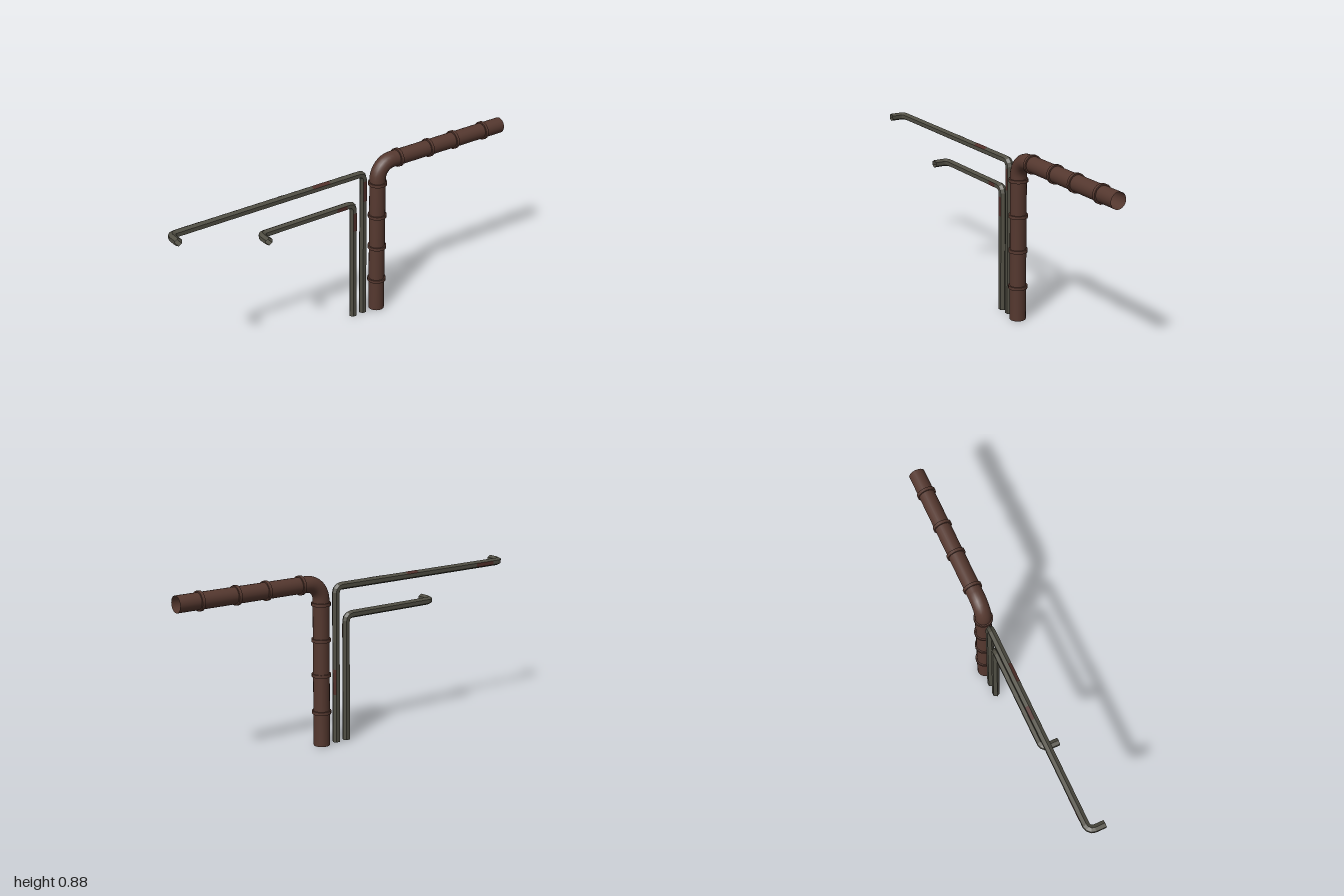
import * as THREE from 'three';

const V = (x, y, z) => new THREE.Vector3(x, y, z);

// Replaces each inner corner of a polyline with a small arc
function roundPath(corners, radius, steps) {
  const out = [corners[0]];
  for (let i = 1; i < corners.length - 1; i++) {
    const c = corners[i];
    const u = corners[i - 1].clone().sub(c).normalize();
    const w = corners[i + 1].clone().sub(c).normalize();
    const centre = c.clone().addScaledVector(u, radius).addScaledVector(w, radius);
    for (let s = 0; s <= steps; s++) {
      const a = (s / steps) * Math.PI / 2;
      out.push(centre.clone()
        .addScaledVector(w, -radius * Math.cos(a))
        .addScaledVector(u, -radius * Math.sin(a)));
    }
  }
  out.push(corners[corners.length - 1]);
  return out;
}

// Sweeps a regular polygon (or a run of its sides) along a path
function sweep(path, radius, sides, flat, first = 0, count = sides) {
  const pos = [], nor = [], idx = [];
  const dirs = path.slice(1).map((p, i) => p.clone().sub(path[i]).normalize());
  let t = dirs[0].clone();
  const n = Math.abs(t.y) > 0.9 ? V(1, 0, 0) : V(0, 1, 0);
  path.forEach((p, i) => {
    const a = dirs[Math.max(i - 1, 0)], b = dirs[Math.min(i, dirs.length - 1)];
    const next = a.clone().add(b).normalize();
    n.applyQuaternion(new THREE.Quaternion().setFromUnitVectors(t, next));
    t = next;
    const bin = t.clone().cross(n);
    for (let j = 0; j <= count; j++) {
      const ang = ((first + j) / sides) * Math.PI * 2;
      const d = n.clone().multiplyScalar(Math.cos(ang)).addScaledVector(bin, Math.sin(ang));
      pos.push(...p.clone().addScaledVector(d, radius).toArray());
      nor.push(...d.toArray());
    }
    if (i === 0) return;
    for (let j = 0; j < count; j++) {
      const q = (i - 1) * (count + 1) + j, r = q + count + 1;
      idx.push(q, q + 1, r + 1, q, r + 1, r);
    }
  });
  let g = new THREE.BufferGeometry();
  g.setAttribute('position', new THREE.Float32BufferAttribute(pos, 3));
  g.setAttribute('normal', new THREE.Float32BufferAttribute(nor, 3));
  g.setIndex(idx);
  if (flat) {
    g = g.toNonIndexed();
    g.computeVertexNormals();
  }
  return g;
}

export function createModel() {
  const model = new THREE.Group();
  model.name = 'pipes';

  const material = (name, color) => {
    const m = new THREE.MeshStandardMaterial({ color, side: THREE.DoubleSide });
    m.name = name;
    return m;
  };
  const brown = material('brown pipe', 0x55382f);
  const olive = material('weathered olive', 0x504e43);
  const rust = material('rust', 0x52302a);

  const add = (name, geometry, mat) => {
    const mesh = new THREE.Mesh(geometry, mat);
    mesh.name = name;
    model.add(mesh);
    return mesh;
  };

  // Large open drain pipe with one elbow
  const zMain = -0.014, xMain = 0.197, yMain = 0.83;
  const mainPath = roundPath([V(xMain, 0, zMain), V(xMain, yMain, zMain), V(1, yMain, zMain)], 0.085, 8);
  add('mainPipe', sweep(mainPath, 0.041, 20, false), brown);

  // Collars around the large pipe
  const h = 0.008;
  const collarProfile = [[0.04, -h], [0.048, -h], [0.048, -h], [0.048, h], [0.048, h], [0.04, h]]
    .map(([x, y]) => new THREE.Vector2(x, y));
  const collar = new THREE.LatheGeometry(collarProfile, 20);
  for (const y of [0.173, 0.364, 0.542, 0.723]) {
    add('verticalCollar', collar, brown).position.set(xMain, y, zMain);
  }
  for (const x of [0.32, 0.516, 0.682, 0.879]) {
    const ring = add('horizontalCollar', collar, brown);
    ring.position.set(x, yMain, zMain);
    ring.rotation.z = -Math.PI / 2;
  }

  // Thin hexagonal pipes: riser, long run, short outlet to the front
  const z = -0.018, r = 0.02;
  const thin = [
    { name: 'longThinPipe', x: 0.11, y: 0.798, end: -0.983 },
    { name: 'shortThinPipe', x: 0.048, y: 0.647, end: -0.503 },
  ];
  for (const p of thin) {
    const path = roundPath([V(p.x, 0, z), V(p.x, p.y, z), V(p.end, p.y, z), V(p.end, p.y, 0.063)], 0.03, 3);
    add(p.name, sweep(path, r, 6, true), olive);
  }

  // Rust patches lying on single faces of the thin pipes
  const patch = (from, to, first, count) =>
    add('rustPatch', sweep([from, to], r + 0.0006, 6, true, first, count), rust);
  const [a, b] = thin;
  patch(V(a.x, 0.65, z), V(a.x, 0.76, z), 4, 1);
  patch(V(a.x, 0.25, z), V(a.x, 0.38, z), 0, 1);
  patch(V(b.x, 0.5, z), V(b.x, 0.6, z), 4, 1);
  patch(V(-0.1, a.y, z), V(-0.2, a.y, z), 5, 1);
  patch(V(-0.33, a.y, z), V(-0.4, a.y, z), 0, 1);
  patch(V(-0.8, a.y, z), V(-0.92, a.y, z), 1, 1);
  patch(V(0, b.y, z), V(-0.06, b.y, z), 4, 1);

  return model;
}
